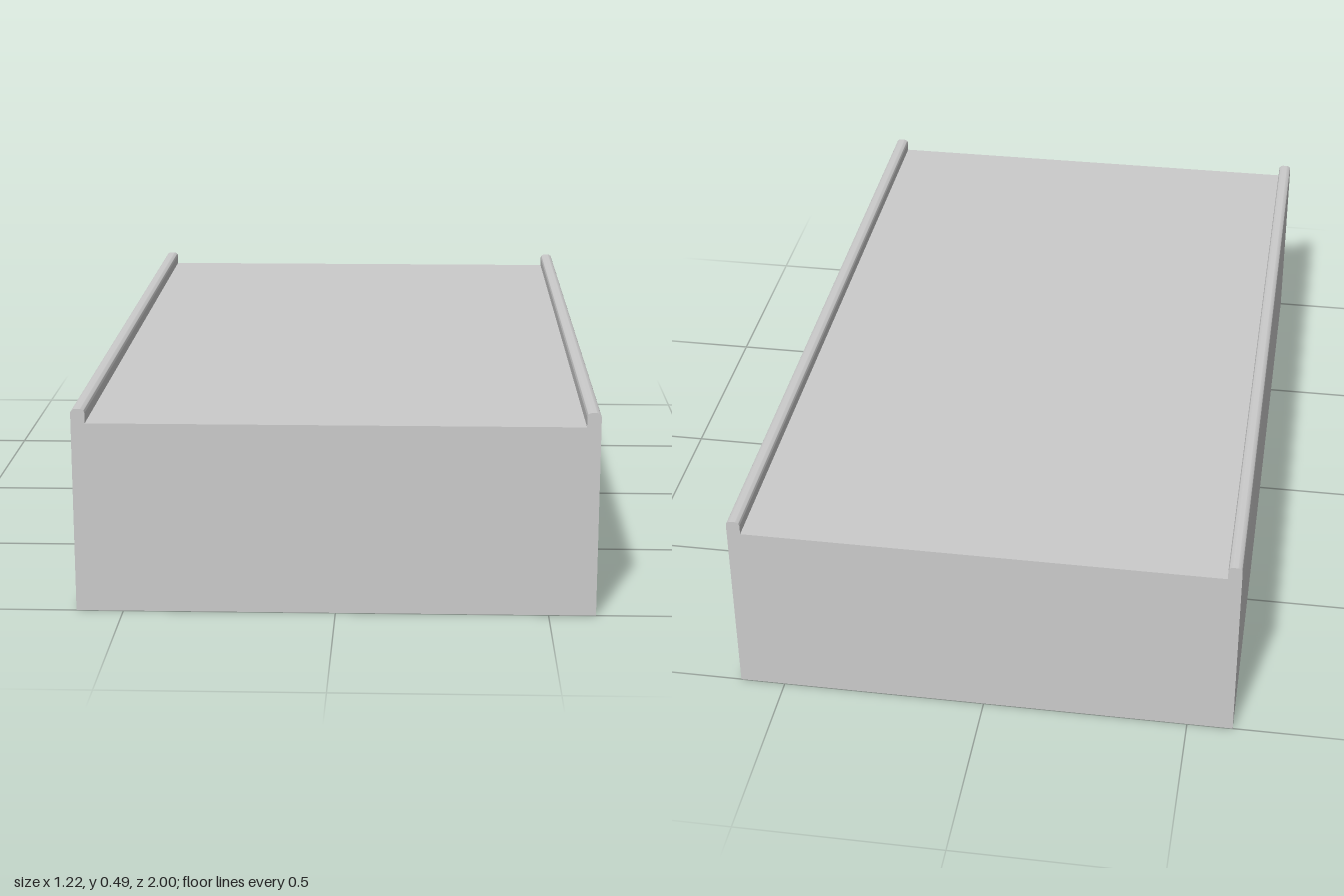
import * as THREE from 'three';
import { toCreasedNormals } from 'three/addons/utils/BufferGeometryUtils.js';

const HALF_WIDTH = 0.611, DECK = 0.456, TOP = 0.49, RAIL = 0.033, LENGTH = 2, R = 0.011;

export function createModel() {
  const group = new THREE.Group();
  group.name = 'railedSlab';

  // Cross-section: solid block with a rounded rail along each long edge
  const inner = HALF_WIDTH - RAIL;
  const section = new THREE.Shape();
  section.moveTo(-HALF_WIDTH, 0);
  section.lineTo(HALF_WIDTH, 0);
  // left rail
  section.lineTo(HALF_WIDTH, TOP - R);
  section.absarc(HALF_WIDTH - R, TOP - R, R, 0, Math.PI / 2);
  section.absarc(inner + R, TOP - R, R, Math.PI / 2, Math.PI);
  // deck
  section.lineTo(inner, DECK);
  section.lineTo(-inner, DECK);
  // right rail
  section.absarc(-inner - R, TOP - R, R, 0, Math.PI / 2);
  section.absarc(-HALF_WIDTH + R, TOP - R, R, Math.PI / 2, Math.PI);
  section.closePath();

  const geometry = new THREE.ExtrudeGeometry(section, {
    depth: LENGTH, bevelEnabled: false, curveSegments: 8,
  });
  geometry.translate(0, 0, -LENGTH / 2);

  const slab = new THREE.Mesh(
    toCreasedNormals(geometry, Math.PI / 6),
    new THREE.MeshStandardMaterial({ color: 0xcccccc }),
  );
  slab.name = 'slabWithSideRails';
  group.add(slab);
  return group;
}
